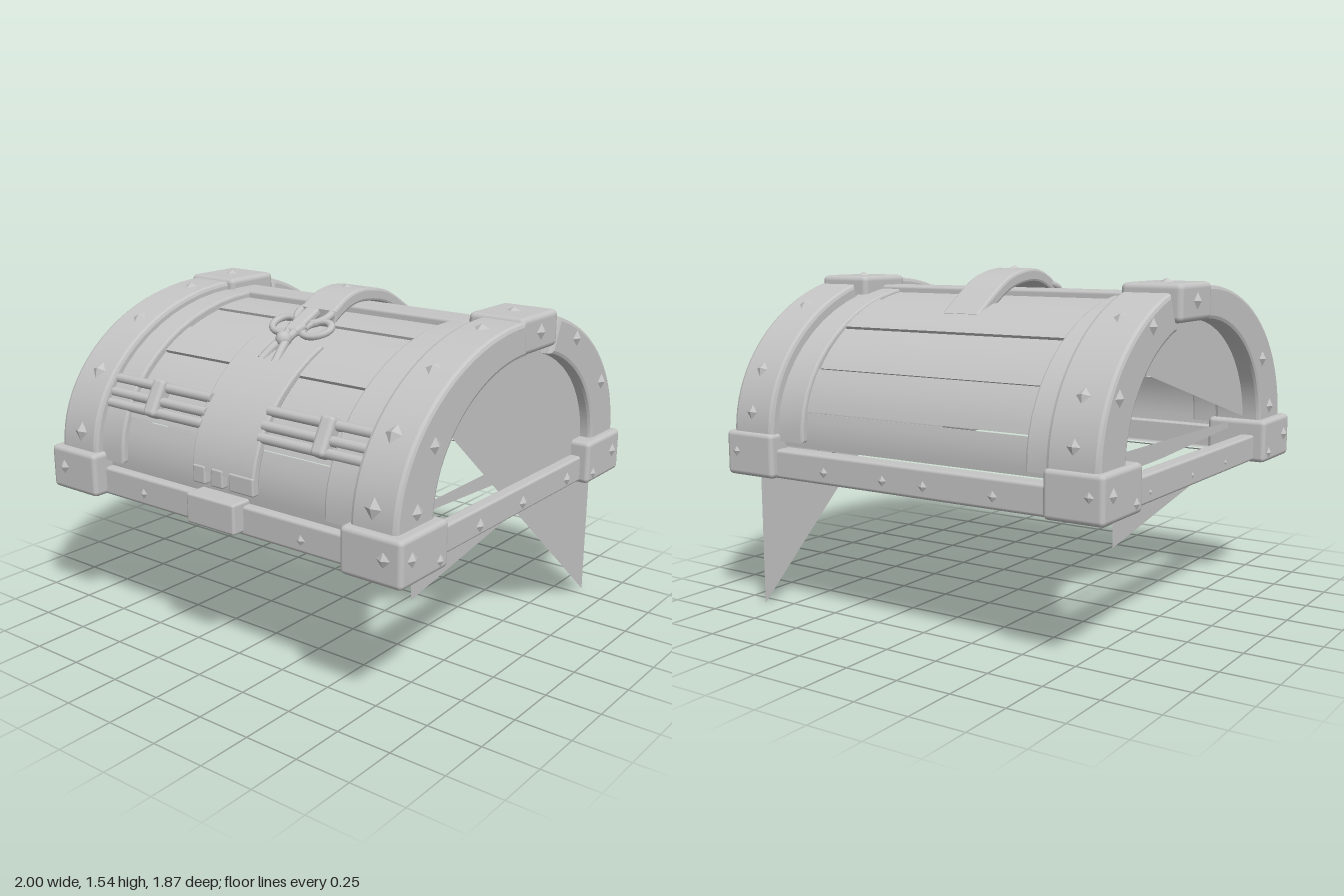
import * as THREE from 'three';
import { toCreasedNormals } from 'three/addons/utils/BufferGeometryUtils.js';
import { RoundedBoxGeometry } from 'three/addons/geometries/RoundedBoxGeometry.js';

const BASE = 0.81; // height where the arches spring
const grey = new THREE.MeshStandardMaterial({ color: 0xc4c4c4, side: THREE.DoubleSide });
grey.name = 'grey';

export function createModel() {
  const model = new THREE.Group();
  model.name = 'chestLid';

  const add = (name, geo, parent = model) => {
    const m = new THREE.Mesh(geo, grey);
    m.name = name;
    parent.add(m);
    return m;
  };
  // box from its limits on each axis
  const box = (name, x0, x1, y0, y1, z0, z1, r = 0.015) => {
    const m = add(name, new RoundedBoxGeometry(x1 - x0, y1 - y0, z1 - z0, 2, r));
    m.position.set((x0 + x1) / 2, (y0 + y1) / 2, (z0 + z1) / 2);
    return m;
  };
  // leave a box open on the sides facing the given directions
  const open = (mesh, ...dirs) => {
    const { position: p, normal: n } = mesh.geometry.attributes;
    const keepP = [], keepN = [], v = new THREE.Vector3();
    for (let i = 0; i < p.count; i += 3) {
      if (dirs.some(d => [0, 1, 2].every(k => v.fromBufferAttribute(n, i + k).dot(d) > 0.8))) continue;
      for (let k = i; k < i + 3; k++) {
        keepP.push(p.getX(k), p.getY(k), p.getZ(k));
        keepN.push(n.getX(k), n.getY(k), n.getZ(k));
      }
    }
    mesh.geometry = new THREE.BufferGeometry();
    mesh.geometry.setAttribute('position', new THREE.Float32BufferAttribute(keepP, 3));
    mesh.geometry.setAttribute('normal', new THREE.Float32BufferAttribute(keepN, 3));
  };
  const up = new THREE.Vector3(0, 1, 0);
  const down = new THREE.Vector3(0, -1, 0);
  // points on an elliptical arch; angle 0 is the front, PI the back. u = -z
  const arc = (a, b, t0, t1, n = 20, c = -0.01) => Array.from({ length: n + 1 }, (_, i) => {
    const t = t0 + (t1 - t0) * i / n;
    return new THREE.Vector2(-(c + a * Math.cos(t)), BASE + b * Math.sin(t));
  });
  // side profile swept from x0 to x1
  const sweep = (pts, x0, x1, bevel = 0) => {
    const g = new THREE.ExtrudeGeometry(new THREE.Shape(pts), {
      depth: x1 - x0 - 2 * bevel, bevelEnabled: bevel > 0, bevelSize: bevel,
      bevelThickness: bevel, bevelOffset: -bevel, bevelSegments: 2,
    });
    g.rotateY(Math.PI / 2).translate(x0 + bevel, 0, 0);
    return toCreasedNormals(g, 0.35);
  };
  const arch = (name, [a, b], [ai, bi, ci = -0.01], t0, t1, x0, x1, bevel, n) =>
    add(name, sweep([...arc(a, b, t0, t1, n), ...arc(ai, bi, t1, t0, n, ci)], x0, x1, bevel));
  // flat plate in the side plane, given as [z, y]
  const plate = (name, pts, x) => {
    const g = new THREE.ShapeGeometry(new THREE.Shape(pts.map(([z, y]) => new THREE.Vector2(-z, y))));
    return add(name, g.rotateY(Math.PI / 2).translate(x, 0, 0));
  };
  // low four-sided stud facing along a normal
  const studGeo = new THREE.ConeGeometry(0.048, 0.024, 4).translate(0, 0.006, 0).toNonIndexed();
  studGeo.computeVertexNormals();
  const stud = (x, y, z, nx, ny, nz, s = 1) => {
    const m = add('stud', studGeo);
    m.position.set(x, y, z);
    m.quaternion.setFromUnitVectors(up, new THREE.Vector3(nx, ny, nz).normalize());
    m.scale.setScalar(s);
  };

  // lid planks, a little fuller at the back
  const seams = [-6, 17, 32, 47, 61, 75, 90, 112, 132, 152, 170, 185];
  for (let i = 0; i < seams.length - 1; i++) {
    const t0 = THREE.MathUtils.degToRad(seams[i] + 0.3);
    const t1 = THREE.MathUtils.degToRad(seams[i + 1] - 0.3);
    const lift = i % 2 ? 0.008 : 0;
    const b = i < 6 ? 0.595 : 0.615;
    arch('plank', [0.825 + lift, b + lift], [0.795, b - 0.03], t0, t1, -0.7, 0.7, 0.005, 5);
  }

  // end arches, inner bands and top blocks
  const inner = [0.66, 0.52, -0.03];
  for (const s of [-1, 1]) {
    const span = (lo, hi) => (s > 0 ? [lo, hi] : [-hi - 0.01, -lo]);
    arch('frontArch', [0.895, 0.665], inner, -0.02, 1.58, ...span(0.716, 0.935), 0.018);
    arch('backArch', [0.9, 0.685], inner, 1.93, Math.PI + 0.02, ...span(0.7, 0.925), 0.018);
    const [i0, i1] = s > 0 ? [0.56, 0.73] : [-0.74, -0.585];
    arch('innerBand', [0.855, 0.63], [0.69, 0.54, -0.02], -0.04, Math.PI + 0.04, i0, i1, 0.01, 28);
    const [b0, b1] = s > 0 ? [0.66, 0.93] : [-0.965, -0.685];
    box('topBlock', b0, b1, 1.33, 1.49, -0.3, 0, 0.025);
    stud((b0 + b1) / 2, 1.488, -0.15, 0, 1, 0);
    stud(s > 0 ? b1 : b0, 1.415, -0.15, s, 0, 0);

    // studs round the outside and on the end of each arch
    for (const t of [0.14, 0.56, 0.98, 1.4, 2.2, 2.72, 3.0]) {
      const b = t > 1.6 ? 0.685 : 0.665;
      stud(s * 0.82, BASE + b * Math.sin(t), -0.01 + 0.897 * Math.cos(t),
        0, Math.sin(t) / b, Math.cos(t) / 0.897);
    }
    for (const [z, y] of [[0.75, 0.875], [0.64, 1.11], [-0.49, 1.33], [-0.76, 1.08]])
      stud(s > 0 ? (z > 0 ? 0.935 : 0.925) : (z > 0 ? -0.945 : -0.935), y, z, s, 0, 0);

    // side rail, hollow behind, with a narrow strip above it
    open(box('sideRail', ...span(0.86, 0.92), 0.63, 0.75, -0.65, 0.65, 0.012), down, new THREE.Vector3(-s, 0, 0));
    plate('sideStrip', [[0.6, 0.775], [0.6, 0.805], [-0.62, 0.82], [-0.62, 0.73], [-0.1, 0.74]], s * 0.8);
    for (const z of [0.27, -0.08, -0.48]) stud(s * 0.925, 0.675, z, s, 0, 0, 0.65);

    // hollow corner blocks, open underneath
    for (const f of [-1, 1]) {
      const w = f > 0 ? 0.984 : 0.962;
      open(box('cornerBlock', s > 0 ? 0.69 : -w, s > 0 ? w : -0.695, 0.62, 0.82,
        f > 0 ? 0.6 : -0.925, f > 0 ? 0.92 : -0.605, 0.022), down);
      stud(s * w, 0.73, f * 0.85, s, 0, 0, 0.9);
      stud(s * w, 0.665, f * 0.66, s, 0, 0, 0.7);
      stud(s * 0.9, 0.73, f * 0.92, 0, 0, f, 0.9);
    }
  }

  // front and back rails, hollow behind
  for (const [f, name, z0, z1] of [[1, 'frontRail', 0.77, 0.85], [-1, 'backRail', -0.89, -0.8]])
    open(box(name, -0.75, 0.75, 0.62, 0.75, z0, z1), down, new THREE.Vector3(0, 0, -f));
  for (const x of [-0.455, 0.445]) stud(x, 0.675, 0.85, 0, 0, 1, 0.65);
  for (const x of [-0.45, -0.11, 0.1, 0.42]) stud(x, 0.675, -0.89, 0, 0, -1, 0.65);

  // slanted, partly open end panels and hanging splinters
  const edge = (t0, t1) => arc(0.72, 0.56, t0, t1).map(v => [-v.x, v.y]);
  plate('rightEndPanel', [...edge(0.71, Math.PI), [-0.81, 0.81], [-0.81, 0]], 0.87);
  plate('leftEndPanel', edge(0, 2.43), -0.86);
  plate('frontSplinter', [[0.71, 0.49], [0.71, 0.66], [-0.6, 0.74], [-0.6, 0.715]], 0.885);
  plate('backSplinter', [[-0.71, 0.49], [-0.71, 0.66], [0.6, 0.74], [0.6, 0.715]], -0.885);

  // ridge beam and the strap over it
  box('ridgeBeam', -0.7, 0.68, 1.35, 1.445, -0.17, -0.01);
  const top = new THREE.SplineCurve([[0.44, 1.345], [0.32, 1.425], [0.18, 1.5], [0.02, 1.53], [-0.1, 1.515], [-0.21, 1.46]]
    .map(p => new THREE.Vector2(...p))).getPoints(24);
  const under = top.map(v => new THREE.Vector2(v.x * 0.98, v.y - 0.06)).reverse();
  add('strap', sweep([...top, ...under], -0.08, 0.115, 0.012));
  stud(0.02, 1.525, 0, 0, 1, 0.1);

  // curved hasp plate, narrower at its foot, with three prongs
  const hasp = arch('haspPlate', [0.865, 0.615], [0.825, 0.585], 0.08, 1.08, -0.18, 0.2, 0.008).geometry;
  const hp = hasp.attributes.position;
  for (let i = 0; i < hp.count; i++)
    if (hp.getX(i) < 0) hp.setX(i, hp.getX(i) * (0.78 + 0.22 * (hp.getY(i) - 0.85) / 0.5));
  for (const [x0, x1] of [[-0.14, -0.07], [-0.035, 0.03], [0.065, 0.2]])
    box('haspProng', x0, x1, 0.8, 0.88, 0.815, 0.855, 0.008);
  box('lockBlock', -0.13, 0.14, 0.635, 0.77, 0.77, 0.91, 0.012);

  // three rods on each side of the hasp, held by clamps
  for (const [x0, x1] of [[-0.74, -0.14], [0.18, 0.74]])
    for (const [y, z] of [[1.135, 0.72], [1.08, 0.755], [1.035, 0.78]]) {
      const rod = add('rod', new THREE.CylinderGeometry(0.022, 0.022, x1 - x0, 10));
      rod.rotation.z = Math.PI / 2;
      rod.position.set((x0 + x1) / 2, y, z);
    }
  for (const x of [-0.44, 0.5]) {
    const clamp = box('rodClamp', x - 0.035, x + 0.035, 1.0, 1.17, 0.7, 0.79, 0.02);
    clamp.rotation.x = -0.5;
  }

  // ring, tied bow and tails
  const tie = new THREE.Group();
  tie.name = 'ringAndBow';
  tie.position.set(0.01, 1.44, 0.215);
  tie.rotation.x = -Math.PI / 2 + 0.43;
  model.add(tie);
  add('ring', new THREE.TorusGeometry(0.086, 0.018, 8, 28), tie);
  add('bowTag', new RoundedBoxGeometry(0.075, 0.18, 0.04, 2, 0.015), tie).position.set(0, -0.09, 0.015);
  for (const s of [-1, 1]) {
    const loop = add('bowLoop', new THREE.TorusGeometry(0.055, 0.015, 8, 20), tie);
    loop.position.set(s * 0.09, -0.11, 0);
    loop.scale.x = 1.2;
    loop.rotation.z = s * 0.4;
    const path = new THREE.CatmullRomCurve3([[s * 0.03, 1.405, 0.33], [s * 0.012, 1.365, 0.41], [s * 0.025, 1.33, 0.47], [s * 0.04, 1.285, 0.53]]
      .map(([x, y, z]) => new THREE.Vector3(x + 0.01, y, z)));
    add('bowTail', new THREE.TubeGeometry(path, 12, 0.019, 8));
  }
  const knot = add('knot', new THREE.SphereGeometry(0.036, 12, 8));
  knot.position.set(0.01, 1.36, 0.43);

  return model;
}
